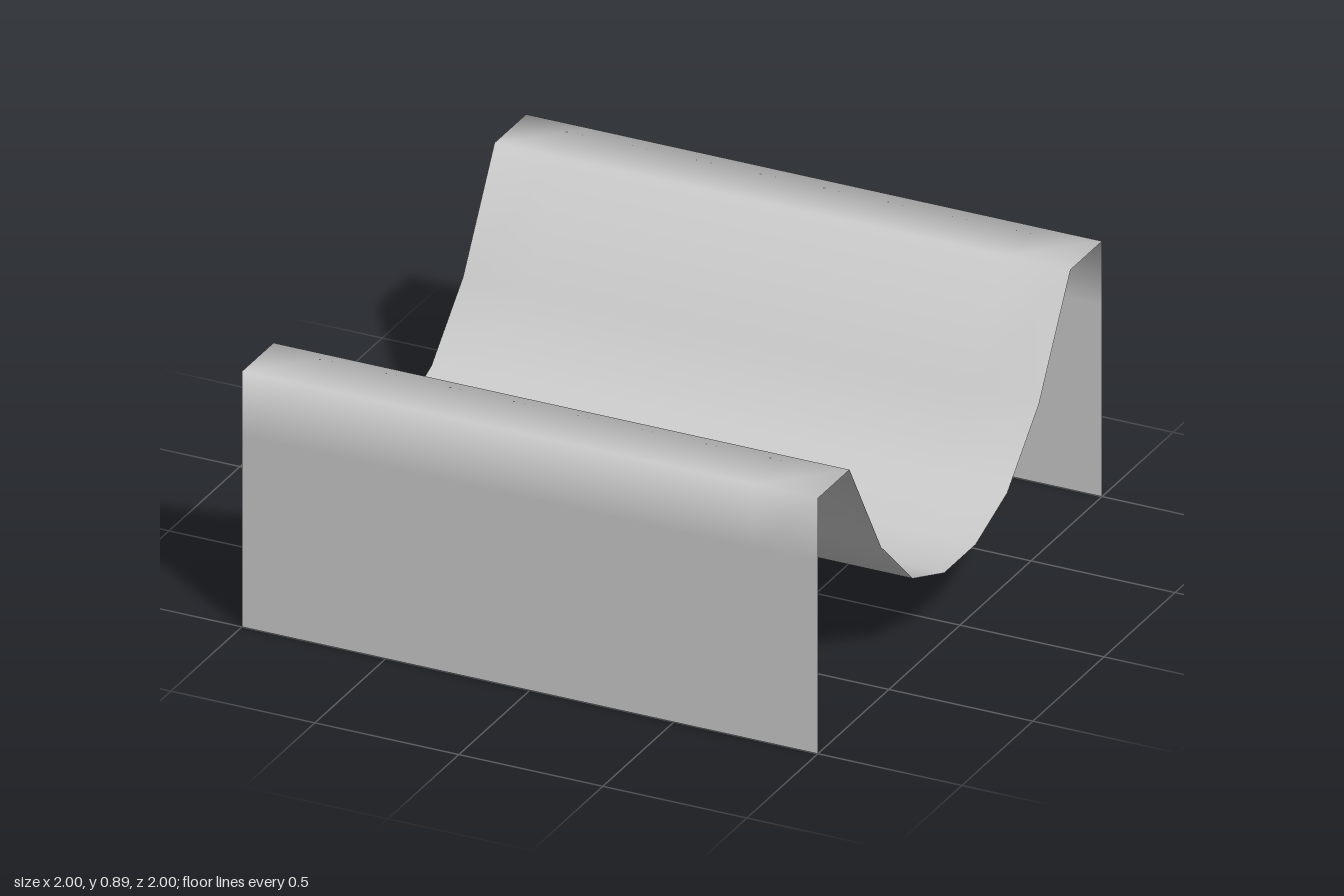
import * as THREE from 'three';

export function createModel() {
  const group = new THREE.Group();
  const cell = 2 / 9, radius = 3 * cell, height = 4 * cell;

  // Profile (z, y): back wall up, across the flanges and trough, front wall down
  const profile = [];
  for (let i = 0; i < 4; i++) profile.push([-1, i * cell]);
  for (let i = 0; i <= 9; i++) {
    const z = -1 + i * cell;
    const drop = Math.sqrt(Math.max(0, radius * radius - z * z));
    profile.push([z, height - drop]);
  }
  for (let i = 3; i >= 0; i--) profile.push([1, i * cell]);

  // Bend a flat sheet along the profile, one row of vertices per point
  const geometry = new THREE.PlaneGeometry(2, 2, 9, profile.length - 1);
  const pos = geometry.attributes.position;
  for (let i = 0; i < pos.count; i++) {
    const [z, y] = profile[Math.floor(i / 10)];
    pos.setXYZ(i, pos.getX(i), y, z);
  }
  geometry.computeVertexNormals();

  const sheet = new THREE.Mesh(geometry, new THREE.MeshStandardMaterial({
    color: 0xcccccc, side: THREE.DoubleSide,
  }));
  sheet.name = 'troughSheet';
  group.add(sheet);
  return group;
}
